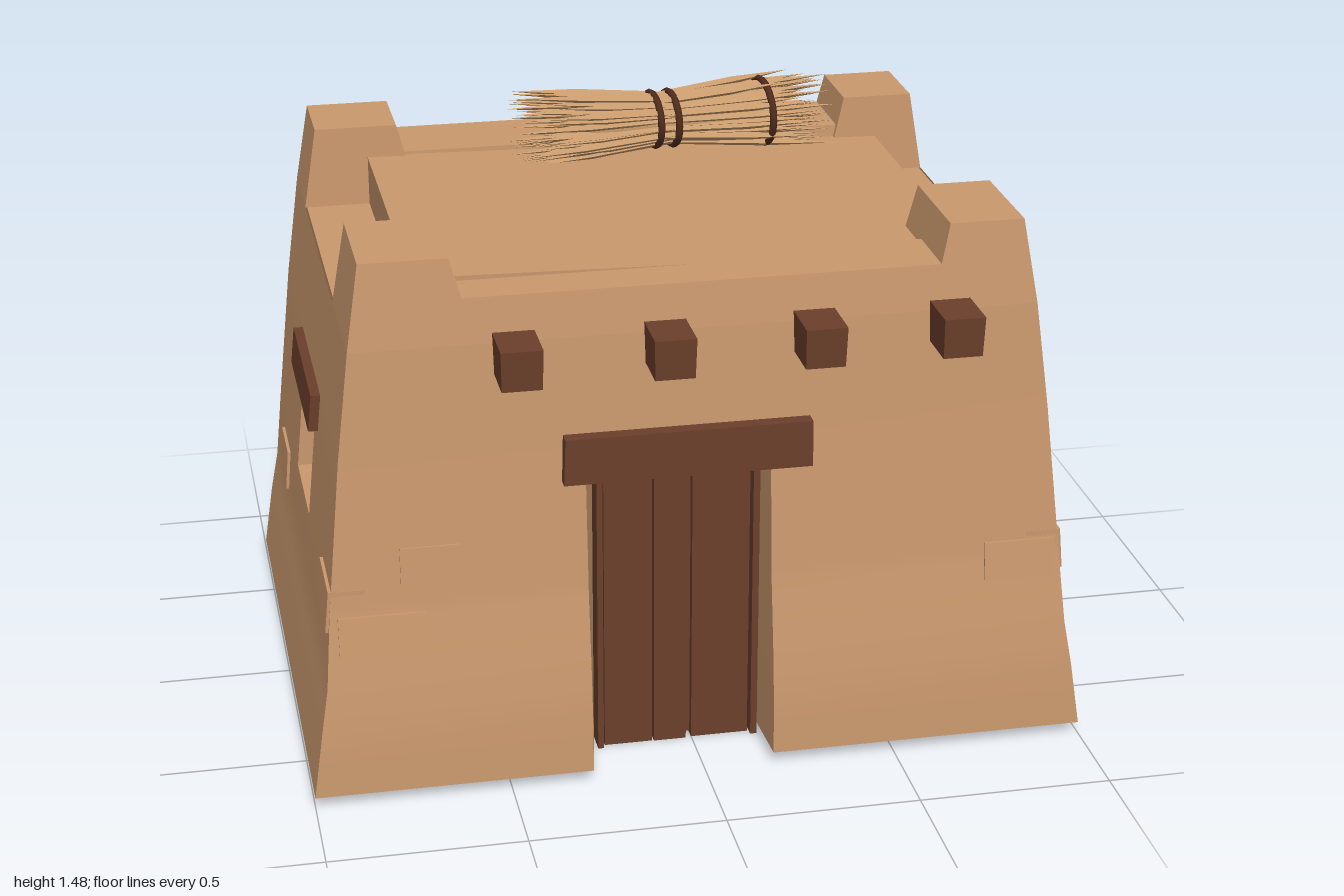
import * as THREE from 'three';
import { mergeGeometries } from 'three/addons/utils/BufferGeometryUtils.js';

const clay = new THREE.MeshStandardMaterial({ color: 0xc9986d, side: THREE.DoubleSide });
clay.name = 'clay';
const wood = new THREE.MeshStandardMaterial({ color: 0x6b3f2b });
wood.name = 'dark wood';
const straw = new THREE.MeshStandardMaterial({ color: 0xc79a6c });
straw.name = 'straw';
const rope = new THREE.MeshStandardMaterial({ color: 0x4f2c1e });
rope.name = 'rope';

// Wall profile rows: height, half width, front depth, back depth
const PROFILE = [
  [0.03, 1, 0.745, 0.77], [0.2, 0.975, 0.735, 0.765], [0.32, 0.955, 0.72, 0.745], [0.5, 0.94, 0.69, 0.72],
  [0.9, 0.9, 0.655, 0.7], [1.18, 0.865, 0.635, 0.68], [1.4, 0.83, 0.605, 0.66],
];
function profile(y, column) {
  let i = 0;
  while (i < PROFILE.length - 2 && y > PROFILE[i + 1][0]) i++;
  const a = PROFILE[i], b = PROFILE[i + 1];
  return a[column] + (b[column] - a[column]) * (y - a[0]) / (b[0] - a[0]);
}
const halfX = (y) => profile(y, 1);
const frontZ = (y) => profile(y, 2);
const backZ = (y) => -profile(y, 3);

let seed = 7;
function rand() {
  seed = (seed * 16807) % 2147483647;
  return seed / 2147483647;
}

// Grid surface over us x vs, with optional missing cells
function surface(us, vs, point, skip = () => false) {
  const pos = [], index = [], n = us.length;
  for (const v of vs) for (const u of us) pos.push(...point(u, v));
  for (let j = 0; j < vs.length - 1; j++) {
    for (let i = 0; i < n - 1; i++) {
      if (skip((us[i] + us[i + 1]) / 2, (vs[j] + vs[j + 1]) / 2)) continue;
      const a = j * n + i;
      index.push(a, a + 1, a + n + 1, a, a + n + 1, a + n);
    }
  }
  const g = new THREE.BufferGeometry();
  g.setAttribute('position', new THREE.Float32BufferAttribute(pos, 3));
  g.setIndex(index);
  g.computeVertexNormals();
  return g;
}

// Six-sided block whose bottom and top are [x0, x1, z0, z1]
function block(y0, y1, bottom, top = bottom) {
  const g = new THREE.BoxGeometry(1, 1, 1).toNonIndexed();
  const p = g.attributes.position;
  for (let i = 0; i < p.count; i++) {
    const r = p.getY(i) > 0 ? top : bottom;
    p.setXYZ(i, r[p.getX(i) > 0 ? 1 : 0], p.getY(i) > 0 ? y1 : y0, r[p.getZ(i) > 0 ? 3 : 2]);
  }
  g.computeVertexNormals();
  return g;
}

export function createModel() {
  const model = new THREE.Group();
  const add = (name, geometry, material) => {
    const mesh = new THREE.Mesh(geometry, material);
    mesh.name = name;
    model.add(mesh);
    return mesh;
  };
  const clamp = THREE.MathUtils.clamp;
  const levels = [0.03, 0.12, 0.2, 0.26, 0.32, 0.4, 0.5, 0.53, 0.65, 0.8, 0.82, 0.9, 1.05, 1.18];

  // Sloping outer walls with door and window openings
  const across = (u, y) => clamp(u, -halfX(y), halfX(y));
  add('frontWall', surface([-1, -0.29, 0.18, 1], levels, (u, y) => [across(u, y), y, frontZ(y)],
    (u, y) => u > -0.29 && u < 0.18 && y < 0.82), clay);
  add('backWall', surface([1, 0, -1], levels, (u, y) => [across(u, y), y, backZ(y)]), clay);
  const windowRim = [[0.14, 0.53], [-0.18, 0.53], [-0.18, 0.8], [0.14, 0.8], [0.14, 0.53]];
  for (const s of [1, -1]) {
    const side = s > 0 ? 'left' : 'right';
    const us = s > 0 ? [0.8, 0.14, -0.18, -0.8] : [-0.8, -0.18, 0.14, 0.8];
    add(side + 'Wall', surface(us, levels, (u, y) => [s * halfX(y), y, clamp(u, backZ(y), frontZ(y))],
      (u, y) => u > -0.18 && u < 0.14 && y > 0.53 && y < 0.8), clay);
    add(side + 'WindowReveal', surface([0, 1, 2, 3, 4], [0, 1], (i, t) => {
      const [z, y] = windowRim[i];
      return [s * (t ? halfX(y) : 0.78), y, z];
    }).toNonIndexed(), clay).geometry.computeVertexNormals();
    const span = (a, b) => (s > 0 ? [a, b] : [-b, -a]);
    add(side + 'Shutter', block(0.52, 0.81, [...span(0.76, 0.785), -0.19, 0.15]), wood);
    add(side + 'WindowLintel', block(0.8, 0.9, [...span(0.78, 0.935), -0.265, 0.215],
      [...span(0.78, 0.925), -0.26, 0.22]), wood);
    // Exposed mud bricks on the side walls
    for (const [z0, z1, y0] of [[0.48, 0.685, 0.46], [-0.56, -0.38, 0.37]]) {
      const row = (y) => [...span(0.85, halfX(y) + 0.008), z0, z1];
      add(side + 'Brick', block(y0, y0 + 0.11, row(y0), row(y0 + 0.11)), clay);
    }
  }

  // Exposed mud bricks on the front
  for (const [x0, x1, y0] of [[0.74, 0.925, 0.45], [-0.92, -0.7, 0.4], [-0.76, -0.61, 0.57]]) {
    const row = (y) => [x0, x1, 0.6, frontZ(y) + 0.006];
    add('frontBrick', block(y0, y0 + 0.1, row(y0), row(y0 + 0.1)), clay);
  }

  // Underside with the doorway cut out
  const floor = new THREE.Shape([[-1, -0.77], [1, -0.77], [1, 0.745], [0.18, 0.745], [0.17, 0.52],
    [-0.25, 0.52], [-0.29, 0.745], [-1, 0.745]].map(([x, z]) => new THREE.Vector2(x, z)));
  add('underside', new THREE.ShapeGeometry(floor).rotateX(Math.PI / 2).translate(0, 0.03, 0), clay);

  // Doorway reveals, planks and lintel
  const doorLevels = levels.filter((y) => y <= 0.82);
  for (const [outer, inner] of [[-0.29, -0.25], [0.18, 0.17]]) {
    add('doorReveal', surface([0, 1], doorLevels,
      (t, y) => [t ? outer : inner, y, t ? frontZ(y) : 0.52]), clay);
  }
  add('doorBacking', block(0.005, 0.83, [-0.25, 0.17, 0.47, 0.545]), wood);
  for (const [x0, x1, z] of [[-0.25, -0.235, 0.585], [-0.23, -0.105, 0.57], [-0.1, -0.015, 0.572],
    [0, 0.15, 0.568], [0.155, 0.172, 0.585]]) {
    add('doorPlank', block(0, 0.83, [x0, x1, 0.5, z]), wood);
  }
  add('doorLintel', block(0.81, 0.93, [-0.35, 0.28, 0.5, 0.695], [-0.345, 0.28, 0.5, 0.69]), wood);

  // Protruding roof beams
  for (const x of [-0.46, -0.085, 0.29, 0.638]) {
    add('roofBeam', block(1.1, 1.205, [x - 0.05, x + 0.05, 0.5, 0.76], [x - 0.052, x + 0.052, 0.5, 0.768]), wood);
  }

  // Low side ledges, raised roof and parapets
  add('sideLedges', block(1.12, 1.18, [-0.86, 0.86, -0.67, 0.63]), clay);
  const roof = block(1.15, 1.28, [-0.69, 0.73, -0.5, 0.5]);
  const rp = roof.attributes.position;
  for (let i = 0; i < rp.count; i++) if (rp.getX(i) < 0 && rp.getY(i) > 1.2) rp.setY(i, 1.31);
  roof.computeVertexNormals();
  add('roof', roof, clay);
  add('frontParapet', block(1.18, 1.295, [-0.65, 0.68, 0.42, frontZ(1.18)], [-0.65, 0.68, 0.435, frontZ(1.295)]), clay);
  add('backParapet', block(1.18, 1.315, [-0.65, 0.68, backZ(1.18), -0.44], [-0.65, 0.68, backZ(1.315), -0.45]), clay);

  // Corner towers
  const X0 = halfX(1.18), X1 = halfX(1.4);
  for (const [name, z0, z1] of [
    ['front', [0.29, frontZ(1.18)], [0.31, frontZ(1.4)]],
    ['back', [backZ(1.18), -0.43], [backZ(1.4), -0.44]],
  ]) {
    add(name + 'RightTower', block(1.18, 1.395, [-X0, -0.55, ...z0], [-X1, -0.61, ...z1]), clay);
    add(name + 'LeftTower', block(1.18, 1.395, [0.59, X0, ...z0], [0.64, X1, ...z1]), clay);
  }

  // Straw bundle: a waisted core with flaring pointed stalks
  const bundle = new THREE.Group();
  bundle.name = 'strawBundle';
  const up = new THREE.Vector3(0, 1, 0), stalks = [];
  for (const [s, reach] of [[-1, 0.43], [1, 0.48]]) {
    for (let i = 0; i < 100; i++) {
      const angle = i * 2.4 + rand() * 0.3, q = Math.sqrt((i + 0.5) / 100);
      const length = reach * (0.65 + 0.35 * rand());
      const spread = q * (0.1 + 0.035 * rand());
      const a = new THREE.Vector3(-s * 0.03, Math.cos(angle) * q * 0.074, Math.sin(angle) * q * 0.074);
      const b = new THREE.Vector3(s * length, Math.cos(angle) * spread, Math.sin(angle) * spread);
      // Bend each stalk outward halfway: a stem, then a pointed tip
      const mid = a.clone().lerp(b, 0.6);
      for (const [from, to, r0, r1] of [[a, mid, 0.01, 0.013], [mid, b, 0.013, 0]]) {
        const dir = to.clone().sub(from);
        const g = new THREE.CylinderGeometry(r1, r0, dir.length(), 4, 1, true).toNonIndexed();
        g.computeVertexNormals();
        g.applyQuaternion(new THREE.Quaternion().setFromUnitVectors(up, dir.clone().normalize()));
        stalks.push(g.translate(...from.clone().add(to).multiplyScalar(0.5).toArray()));
      }
    }
  }
  const stalkMesh = new THREE.Mesh(mergeGeometries(stalks), straw);
  stalkMesh.name = 'strawStalks';
  const core = new THREE.LatheGeometry([[0, -0.3], [0.075, -0.22], [0.072, 0], [0.085, 0.26], [0, 0.34]]
    .map(([r, y]) => new THREE.Vector2(r, y)), 10).rotateZ(-Math.PI / 2);
  const coreMesh = new THREE.Mesh(core, straw);
  coreMesh.name = 'strawCore';
  bundle.add(stalkMesh, coreMesh);
  // Rope ties
  for (const [x, r] of [[-0.03, 0.086], [0.02, 0.086], [0.28, 0.105]]) {
    const tie = new THREE.Mesh(new THREE.TorusGeometry(r, 0.01, 6, 20).rotateY(Math.PI / 2 + 0.05), rope);
    tie.position.x = x;
    tie.name = 'ropeTie';
    bundle.add(tie);
  }
  bundle.scale.y = 0.85;
  bundle.rotation.y = 0.06;
  bundle.position.set(0.12, 1.38, -0.405);
  model.add(bundle);
  return model;
}
